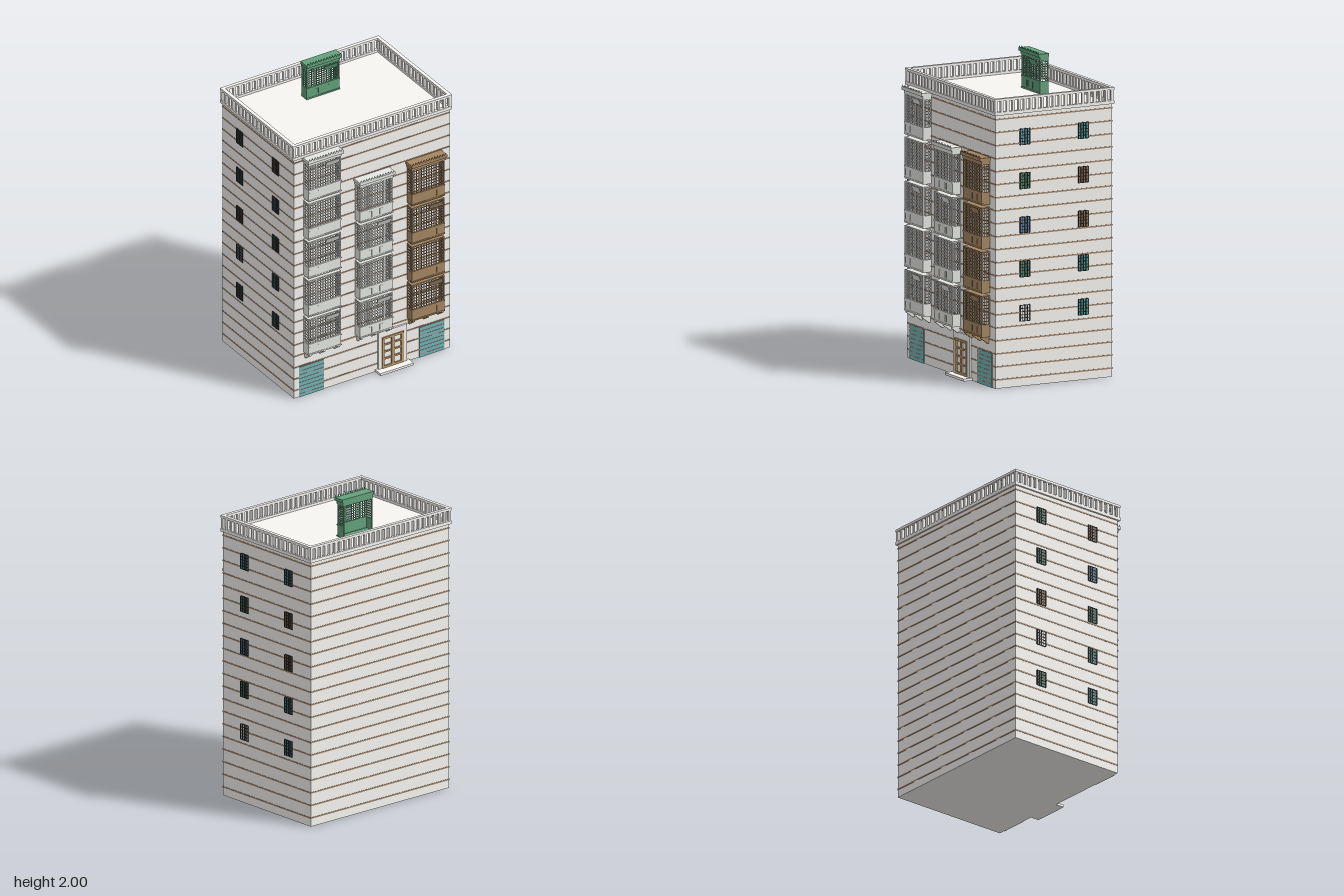
import * as THREE from 'three';
import { mergeGeometries } from 'three/addons/utils/BufferGeometryUtils.js';

const mat = (color) => new THREE.MeshStandardMaterial({ color });
const M = {
  wall: mat(0xf8f6f3), bay: mat(0xe5e7e2), brown: mat(0xa58763), green: mat(0x63a17c),
  band: mat(0xa88c72), teal: mat(0x76b4b8), wood: mat(0xc29e6c), iron: mat(0x2a2a2a),
  winTeal: mat(0x4a9c98), winGreen: mat(0x4f8a68), winBlue: mat(0x5a84ac), winBrown: mat(0x93704f),
  winSea: mat(0x5aa0b0),
};

// Box given by its lower and upper corners
function box(x0, x1, y0, y1, z0, z1) {
  const g = new THREE.BoxGeometry(x1 - x0, y1 - y0, z1 - z0);
  return g.translate((x0 + x1) / 2, (y0 + y1) / 2, (z0 + z1) / 2);
}
function part(parent, name, geos, material) {
  const mesh = new THREE.Mesh(mergeGeometries(geos), material);
  mesh.name = name;
  parent.add(mesh);
  return mesh;
}

const W = 0.572, ZF = 0.376, ZB = -0.445, ROOF = 1.73;
const HW = 0.12, DEPTH = 0.058, PANEL = 0.08;   // bay half width, depth and parapet height
const BAR = 0.0023;

// One latticed bay storey: back at z = 0, base at y = 0, facing +z
function bayUnit(material, height, flap, slots) {
  const g = new THREE.Group();
  g.name = 'bayStorey';
  const d = DEPTH, top = height;
  part(g, 'bayPanel', [
    box(-HW, HW, 0, PANEL, d - 0.008, d),
    box(-HW, -HW + 0.008, 0, PANEL, 0, d - 0.008),
    box(HW - 0.008, HW, 0, PANEL, 0, d - 0.008),
    box(-HW, HW, 0, 0.008, 0, d - 0.008),
    box(-HW - 0.003, HW + 0.003, PANEL - 0.006, PANEL + 0.003, d - 0.01, d + 0.003),
    box(-HW - 0.003, HW + 0.003, 0.003, 0.011, d - 0.01, d + 0.003),
    ...slots.map((x) => box(x - 0.002, x + 0.002, 0.022, 0.062, d, d + 0.003)),
  ], material);

  const bars = [];
  const nx = 13, ny = 9;
  for (let i = 1; i < nx; i++) {
    const x = -HW + (2 * HW * i) / nx;
    bars.push(box(x - BAR, x + BAR, PANEL, top, d - 0.007, d - 0.002));
  }
  for (let j = 1; j < ny; j++) {
    const y = PANEL + ((top - PANEL) * j) / ny;
    bars.push(box(-HW, HW, y - BAR, y + BAR, d - 0.0065, d - 0.0025));
    for (const s of [-1, 1]) {
      const x = s * (HW - 0.004);
      bars.push(box(x - 0.002, x + 0.002, y - BAR, y + BAR, 0, d - 0.004));
    }
  }
  for (const s of [-1, 1]) {
    const x = s * (HW - 0.004);
    for (const z of [0.02, 0.037]) bars.push(box(x - 0.002, x + 0.002, PANEL, top, z - 0.0015, z + 0.0015));
  }
  part(g, 'lattice', bars, material);

  // Corner posts, mullions and head rail
  const frame = [box(-HW, HW, top - 0.008, top, 0, d)];
  for (const s of [-1, 1]) {
    const x = s * (HW - 0.004);
    frame.push(box(x - 0.004, x + 0.004, PANEL, top, d - 0.008, d));
    frame.push(box(x - 0.004, x + 0.004, PANEL, top, 0, 0.006));
    frame.push(box(s * 0.06 - 0.003, s * 0.06 + 0.003, PANEL, top, d - 0.008, d));
  }
  part(g, 'bayFrame', frame, material);

  // Shutter hinged at its foot, leaning outwards
  if (flap) {
    const m = part(g, 'openShutter', [box(0, 0.1, 0, 0.044, -0.002, 0.002)], material);
    m.position.set(0, top - 0.044, d + 0.002);
    m.rotation.x = 0.42;
  }
  return g;
}

// Projecting cornice with a row of flat pointed teeth
function bayCrown(material) {
  const d = DEPTH, geos = [
    box(-HW - 0.004, HW + 0.004, 0, 0.022, 0, d + 0.004),
    box(-HW - 0.01, HW + 0.01, 0.02, 0.04, 0, d + 0.016),
  ];
  const n = 13, step = (2 * HW + 0.02) / n;
  for (let i = 0; i < n; i++) {
    const tooth = new THREE.CylinderGeometry(0.001, 0.0095, 0.015, 4).rotateY(Math.PI / 4).scale(1, 1, 0.25);
    geos.push(tooth.translate(-HW - 0.01 + step * (i + 0.5), 0.0475, d + 0.014));
  }
  const g = new THREE.Group();
  part(g, 'bayCrown', geos, material);
  return g;
}

// Sloping bracket under a bay
function bracket(x) {
  const s = new THREE.Shape([[0, 0], [DEPTH, 0], [DEPTH, -0.008], [0.012, -0.042], [0, -0.042]]
    .map(([a, b]) => new THREE.Vector2(a, b)));
  const g = new THREE.ExtrudeGeometry(s, { depth: 0.012, bevelEnabled: false });
  return g.rotateY(-Math.PI / 2).translate(x + 0.006, 0, 0);
}

function bayColumn(x, storeys, material, slots) {
  const g = new THREE.Group();
  g.name = 'bayColumn';
  for (let i = 0; i < storeys; i++) {
    const u = bayUnit(material, 0.262, i % 2 === 0, slots);
    u.position.y = i * 0.2785;
    g.add(u);
  }
  const crown = bayCrown(material);
  crown.position.y = (storeys - 1) * 0.2785 + 0.26;
  g.add(crown);
  part(g, 'brackets', [-0.105, 0, 0.105].map(bracket), material);
  g.position.set(x, 0.315, ZF);
  return g;
}

// Side window facing +x: coloured sashes behind a dark iron grille
function sideWindow(material) {
  const g = new THREE.Group();
  g.name = 'sideWindow';
  const h = 0.05, w = 0.034;
  part(g, 'windowSash', [box(0, 0.003, -h, h, -w, w)], material);
  const bars = [];
  for (const z of [-w, -0.017, 0, 0.017, w]) bars.push(box(0.001, 0.007, -h, h, z - 0.0022, z + 0.0022));
  for (const y of [-h, -0.03, -0.01, 0.01, 0.03, h]) bars.push(box(0.001, 0.006, y - 0.002, y + 0.002, -w, w));
  part(g, 'windowGrille', bars, M.iron);
  return g;
}

export function createModel() {
  const root = new THREE.Group();
  root.name = 'apartmentBuilding';

  // Main block with thin string courses
  part(root, 'walls', [box(-W, W, 0, ROOF, ZB, ZF)], M.wall);
  const bands = [];
  for (let i = 0; i < 21; i++) {
    const y = 0.055 + i * 0.0822;
    bands.push(box(-W - 0.002, W + 0.002, y - 0.0045, y + 0.0045, ZB - 0.002, ZF + 0.002));
  }
  part(root, 'stringCourses', bands, M.band);

  // Roof balustrade
  const X = 0.584, Z0 = -0.455, Z1 = 0.387, T = 0.024, rail = [];
  for (const [y0, y1] of [[1.725, 1.746], [1.814, 1.83]]) {
    rail.push(box(-X, X, y0, y1, Z0, Z0 + T), box(-X, X, y0, y1, Z1 - T, Z1));
    rail.push(box(-X, -X + T, y0, y1, Z0 + T, Z1 - T), box(X - T, X, y0, y1, Z0 + T, Z1 - T));
  }
  const baluster = (x, z) => rail.push(box(x - 0.009, x + 0.009, 1.745, 1.815, z - 0.009, z + 0.009));
  for (let i = 0; i <= 28; i++) {
    const x = (X - T / 2) * (i / 14 - 1);
    baluster(x, Z0 + T / 2);
    baluster(x, Z1 - T / 2);
  }
  for (let i = 1; i < 20; i++) {
    const z = Z0 + T / 2 + ((Z1 - Z0 - T) * i) / 20;
    baluster(X - T / 2, z);
    baluster(-X + T / 2, z);
  }
  part(root, 'balustrade', rail, M.wall);

  // Bay columns and the single bay on the roof
  const pairs = [-0.05, -0.034, 0.026, 0.042];
  root.add(
    bayColumn(-0.382, 5, M.bay, [-0.111, -0.048]),
    bayColumn(-0.002, 4, M.bay, pairs),
    bayColumn(0.379, 4, M.brown, [0, 0.063]),
  );
  const roofBay = new THREE.Group();
  roofBay.name = 'roofBay';
  const crown = bayCrown(M.green);
  crown.position.y = 0.215;
  roofBay.add(bayUnit(M.green, 0.217, true, pairs), crown);
  roofBay.position.set(0, ROOF, -0.241);
  root.add(roofBay);

  // Side windows, top to bottom: [front column, back column]
  const { winTeal: t, winGreen: n, winBlue: b, winBrown: r, winSea: s, bay: w } = M;
  const colours = { 1: [[s, t], [n, r], [b, r], [n, t], [w, t]], '-1': [[r, n], [b, n], [n, r], [t, w], [t, n]] };
  for (const side of [1, -1]) {
    colours[side].forEach((row, i) => [0.17, -0.241].forEach((z, k) => {
      const win = sideWindow(row[k]);
      win.position.set(side * (W + 0.0005), 1.575 - i * 0.2785, z);
      if (side < 0) win.rotation.y = Math.PI;
      root.add(win);
    }));
  }

  // Roller shutters: teal slats with brown gaps
  for (const x of [-0.445, 0.44]) {
    const slats = [];
    for (let i = 0; i < 8; i++) slats.push(box(x - 0.091, x + 0.091, i * 0.0275, i * 0.0275 + 0.0225, ZF, ZF + 0.005));
    part(root, 'rollerShutter', slats, M.teal);
    part(root, 'shutterGaps', [box(x - 0.091, x + 0.091, 0, 0.22, ZF, ZF + 0.0035)], M.band);
  }

  // Entrance: surround, step and glazed double door
  part(root, 'doorSurround', [
    box(0.042, 0.07, 0, 0.28, ZF, 0.388), box(0.226, 0.254, 0, 0.28, ZF, 0.388),
    box(0.07, 0.226, 0.24, 0.28, ZF, 0.388),
  ], M.wall);
  part(root, 'doorStep', [box(0.025, 0.27, 0, 0.016, ZF, 0.437)], M.wall);
  part(root, 'doorGlass', [box(0.07, 0.226, 0.016, 0.24, ZF, 0.381)], M.wall);
  const door = [box(0.07, 0.226, 0.226, 0.24, ZF, 0.397), box(0.07, 0.226, 0.016, 0.03, ZF, 0.392)];
  for (const [x, h] of [[0.078, 0.008], [0.148, 0.01], [0.218, 0.008]]) door.push(box(x - h, x + h, 0.016, 0.235, ZF, 0.392));
  for (const y of [0.08, 0.13, 0.18]) door.push(box(0.075, 0.222, y - 0.005, y + 0.005, ZF, 0.39));
  part(root, 'doorFrame', door, M.wood);
  return root;
}
